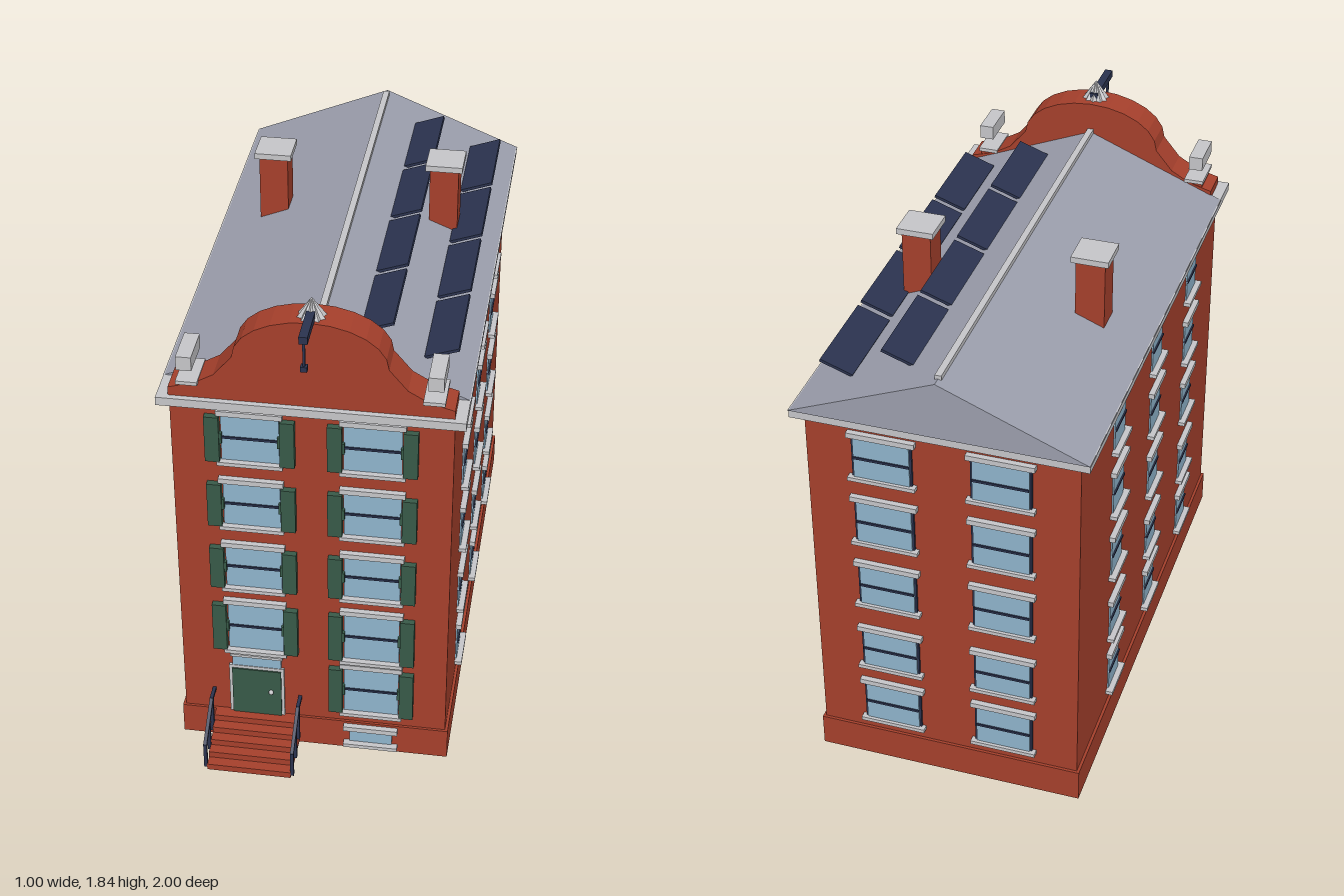
import * as THREE from 'three';

const mat = (name, color) => {
  const m = new THREE.MeshStandardMaterial({ color });
  m.name = name;
  return m;
};

export function createModel() {
  const brick = mat('brick', 0xa6402c);
  const stone = mat('stone', 0xc6c6c9);
  const slate = mat('slate', 0x9c9fad);
  const navy = mat('navy', 0x2b334f);
  const green = mat('green', 0x385a48);
  const glass = mat('glass', 0x8fb4cc);

  const model = new THREE.Group();
  model.name = 'townhouse';

  // box given by its extents on each axis
  const box = (parent, name, material, x0, x1, y0, y1, z0, z1) => {
    const mesh = new THREE.Mesh(new THREE.BoxGeometry(x1 - x0, y1 - y0, z1 - z0), material);
    mesh.position.set((x0 + x1) / 2, (y0 + y1) / 2, (z0 + z1) / 2);
    mesh.name = name;
    parent.add(mesh);
    return mesh;
  };
  // outline in x, y pushed along z from z0 to z1
  const extrude = (name, material, points, z0, z1) => {
    const shape = new THREE.Shape(points.map(([x, y]) => new THREE.Vector2(x, y)));
    const geo = new THREE.ExtrudeGeometry(shape, { depth: z1 - z0, bevelEnabled: false });
    const mesh = new THREE.Mesh(geo, material);
    mesh.position.z = z0;
    mesh.name = name;
    model.add(mesh);
  };

  // walls, plinth and cornice
  box(model, 'walls', brick, -0.46, 0.46, 0.1, 1.44, -0.957, 0.807);
  box(model, 'plinth', brick, -0.47, 0.47, 0, 0.12, -0.967, 0.816);
  box(model, 'cornice', stone, -0.498, 0.498, 1.428, 1.458, -0.993, 0.84);

  // roof and ridge cap
  extrude('roof', slate, [[-0.5, 1.456], [0.5, 1.456], [0, 1.66]], -0.997, 0.71);
  box(model, 'ridgeCap', stone, -0.011, 0.011, 1.65, 1.672, -0.965, 0.71);

  // curved front gable: shoulders, concave sweep, round crown
  const half = [[0.46, 1.456], [0.46, 1.488], [0.40, 1.505], [0.355, 1.524], [0.31, 1.55], [0.275, 1.592]];
  for (let i = 0; i <= 6; i++) {
    const a = (Math.PI / 2) * (i / 6);
    half.push([0.25 * Math.cos(a), 1.622 + 0.15 * Math.sin(a)]);
  }
  const left = half.slice(0, -1).reverse().map(([x, y]) => [-x, y]);
  extrude('frontGable', brick, [...half, ...left], 0.705, 0.82);
  for (const s of [-1, 1]) {
    box(model, 'gableShoulder', brick, s * 0.395 - 0.03, s * 0.395 + 0.03, 1.456, 1.515, 0.708, 0.818);
    box(model, 'shoulderCap', stone, s * 0.395 - 0.035, s * 0.395 + 0.035, 1.513, 1.526, 0.7, 0.838);
    box(model, 'gableBlock', stone, s * 0.4 - 0.025, s * 0.4 + 0.025, 1.57, 1.62, 0.7, 0.84);
  }

  // fluted finial: cone with alternating rim radius
  const cone = new THREE.ConeGeometry(0.048, 0.068, 20, 1).toNonIndexed();
  const p = cone.attributes.position;
  for (let i = 0; i < p.count; i++) {
    const x = p.getX(i), z = p.getZ(i);
    if (Math.hypot(x, z) < 0.01) continue;
    const k = Math.round((Math.atan2(x, z) / (Math.PI * 2)) * 20);
    const f = k % 2 === 0 ? 1 : 0.78;
    p.setX(i, x * f);
    p.setZ(i, z * f);
  }
  cone.computeVertexNormals();
  const finial = new THREE.Mesh(cone, stone);
  finial.position.set(0, 1.803, 0.77);
  finial.name = 'finial';
  model.add(finial);

  // hoisting beam with rope and hook
  const hoist = new THREE.Group();
  hoist.name = 'hoist';
  model.add(hoist);
  box(hoist, 'beam', navy, -0.014, 0.014, 1.772, 1.798, 0.74, 0.94);
  box(hoist, 'rope', navy, -0.004, 0.004, 1.68, 1.775, 0.922, 0.93);
  box(hoist, 'hook', navy, -0.011, 0.011, 1.668, 1.686, 0.915, 0.937);

  // chimneys
  for (const s of [-1, 1]) {
    box(model, 'chimney', brick, s * 0.3 - 0.05, s * 0.3 + 0.05, 1.47, 1.76, -0.33, -0.23);
    box(model, 'chimneyCap', stone, s * 0.3 - 0.064, s * 0.3 + 0.064, 1.757, 1.778, -0.344, -0.216);
  }

  // tilted solar panels in two rows
  for (const [x, y] of [[0.178, 1.622], [0.39, 1.542]]) {
    for (let i = 0; i < 4; i++) {
      const panel = new THREE.Mesh(new THREE.BoxGeometry(0.117, 0.01, 0.335), navy);
      panel.position.set(x, y, 0.417 - i * 0.365);
      panel.rotation.z = 0.34;
      panel.name = 'solarPanel';
      model.add(panel);
    }
  }

  // window in its own frame: wall at z = 0, outside along +z; y0..y1 is the glass
  const makeWindow = (w, y0, y1, { ledge = 0.02, shutters = false, frame = false, bar = true } = {}) => {
    const g = new THREE.Group();
    g.name = 'window';
    const h = w / 2, m = (y0 + y1) / 2;
    box(g, 'lintel', stone, -h - ledge, h + ledge, y1, y1 + 0.019, -0.005, 0.02);
    box(g, 'sill', stone, -h - ledge, h + ledge, y0 - 0.014, y0, -0.005, 0.025);
    if (frame) box(g, 'windowFrame', navy, -h - 0.007, h + 0.007, y0, y1, -0.005, 0.009);
    const f = frame ? 0.009 : 0;
    box(g, 'pane', glass, -h, h, y0, y1, f - 0.003, f + 0.005);
    if (bar) box(g, 'glazingBar', navy, -h, h, m - 0.004, m + 0.004, f, f + 0.01);
    if (shutters) {
      for (const s of [-1, 1]) {
        box(g, 'shutter', green, s * 0.123 - 0.024, s * 0.123 + 0.024, y0 - 0.002, y1 - 0.006, 0, 0.022);
        box(g, 'shutterCatch', green, s * 0.097 - 0.006, s * 0.097 + 0.006, m - 0.02, m + 0.02, 0, 0.018);
      }
    }
    model.add(g);
    return g;
  };

  // front windows with shutters; the lowest one stands beside the door
  const frontRows = [[1.216, 1.395], [0.952, 1.126], [0.688, 0.86], [0.412, 0.612], [0.172, 0.372]];
  frontRows.forEach(([y0, y1], i) => {
    for (const x of i < 4 ? [-0.2, 0.2] : [0.2]) {
      makeWindow(0.19, y0, y1, { ledge: 0.013, shutters: true }).position.set(x, 0, 0.807);
    }
  });
  makeWindow(0.15, 0.035, 0.092, { bar: false }).position.set(0.2, 0, 0.816);

  // side and back windows
  const rows = [[1.223, 1.376], [0.96, 1.121], [0.694, 0.851], [0.42, 0.568], [0.176, 0.329]];
  for (const [y0, y1] of rows) {
    for (const s of [-1, 1]) {
      for (const z of [0.43, -0.045, -0.52]) {
        const side = makeWindow(0.124, y0, y1);
        side.position.set(s * 0.46, 0, z);
        side.rotation.y = (s * Math.PI) / 2;
      }
      const back = makeWindow(0.19, y0, y1, { frame: true });
      back.position.set(s * 0.2, 0, -0.957);
      back.rotation.y = Math.PI;
    }
  }

  // front door with surround, transom and knob
  const door = new THREE.Group();
  door.name = 'door';
  model.add(door);
  box(door, 'doorSurround', stone, -0.298, -0.105, 0.12, 0.332, 0.8, 0.816);
  box(door, 'doorLeaf', green, -0.287, -0.115, 0.12, 0.32, 0.812, 0.821);
  box(door, 'transom', glass, -0.286, -0.115, 0.332, 0.374, 0.806, 0.814);
  box(door, 'transomLintel', stone, -0.292, -0.109, 0.374, 0.384, 0.8, 0.82);
  const knob = new THREE.Mesh(new THREE.SphereGeometry(0.009, 8, 6), stone);
  knob.position.set(-0.15, 0.23, 0.827);
  knob.name = 'doorKnob';
  door.add(knob);

  // entrance steps
  for (let i = 0; i < 5; i++) {
    box(model, 'step', brick, -0.35, -0.055, 0, 0.024 * (i + 1), 0.8, 1 - i * 0.037);
  }

  // railings: posts and a rail that bends level at the top
  for (const x of [-0.355, -0.05]) {
    const w = 0.006;
    for (const [z, y0, y1] of [[0.992, 0.01, 0.112], [0.925, 0.03, 0.162], [0.862, 0.06, 0.208]]) {
      box(model, 'railPost', navy, x - w, x + w, y0, y1, z - w, z + w);
    }
    box(model, 'levelRail', navy, x - w, x + w, 0.2, 0.212, 0.807, 0.866);
    const dy = 0.098, dz = 0.132;
    const rail = new THREE.Mesh(new THREE.BoxGeometry(0.012, 0.012, Math.hypot(dy, dz)), navy);
    rail.position.set(x, 0.157, 0.928);
    rail.rotation.x = Math.atan2(dy, dz);
    rail.name = 'slopedRail';
    model.add(rail);
  }

  return model;
}
